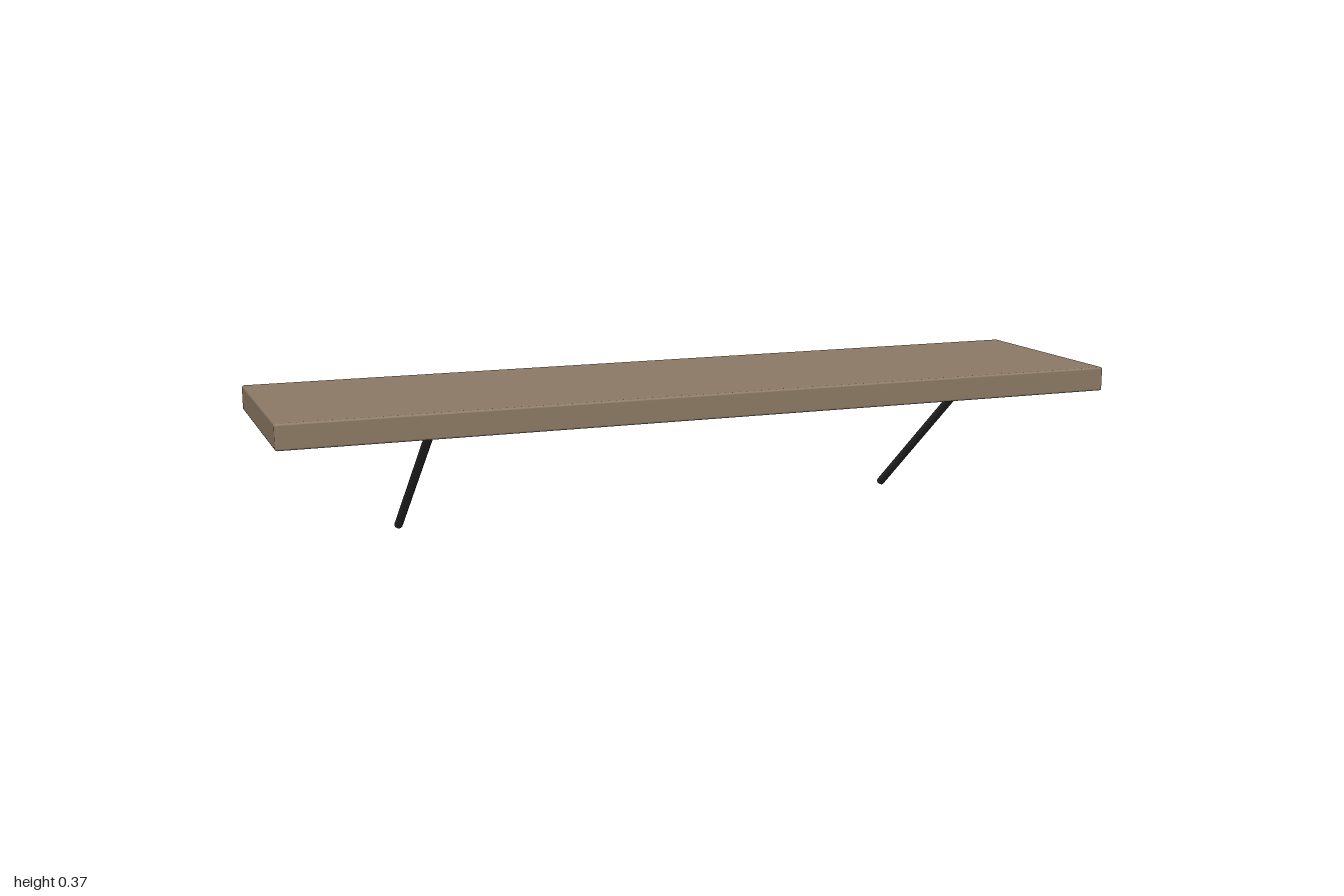
import * as THREE from 'three';
import { RoundedBoxGeometry } from 'three/addons/geometries/RoundedBoxGeometry.js';

export function createModel() {
  const group = new THREE.Group();
  const wood = new THREE.MeshStandardMaterial({ name: 'wood', color: 0x8b7964 });
  const metal = new THREE.MeshStandardMaterial({ name: 'black metal', color: 0x2a2a2a });

  // Board with slightly eased edges
  const board = new THREE.Mesh(new RoundedBoxGeometry(2, 0.058, 0.5, 2, 0.005), wood);
  board.name = 'shelfBoard';
  board.position.y = 0.34;
  group.add(board);

  // Slanted round struts, running from the back foot up towards the front
  const foot = new THREE.Vector3(0, 0.008, -0.234);
  const head = new THREE.Vector3(0, 0.294, 0.125);
  const axis = head.clone().sub(foot);
  const strutGeometry = new THREE.CylinderGeometry(0.01, 0.01, axis.length(), 16);
  for (const side of [-1, 1]) {
    const strut = new THREE.Mesh(strutGeometry, metal);
    strut.name = side > 0 ? 'leftStrut' : 'rightStrut';
    strut.position.copy(foot).add(head).multiplyScalar(0.5);
    strut.position.x = side * 0.65;
    strut.quaternion.setFromUnitVectors(new THREE.Vector3(0, 1, 0), axis.clone().normalize());
    group.add(strut);
  }
  return group;
}
